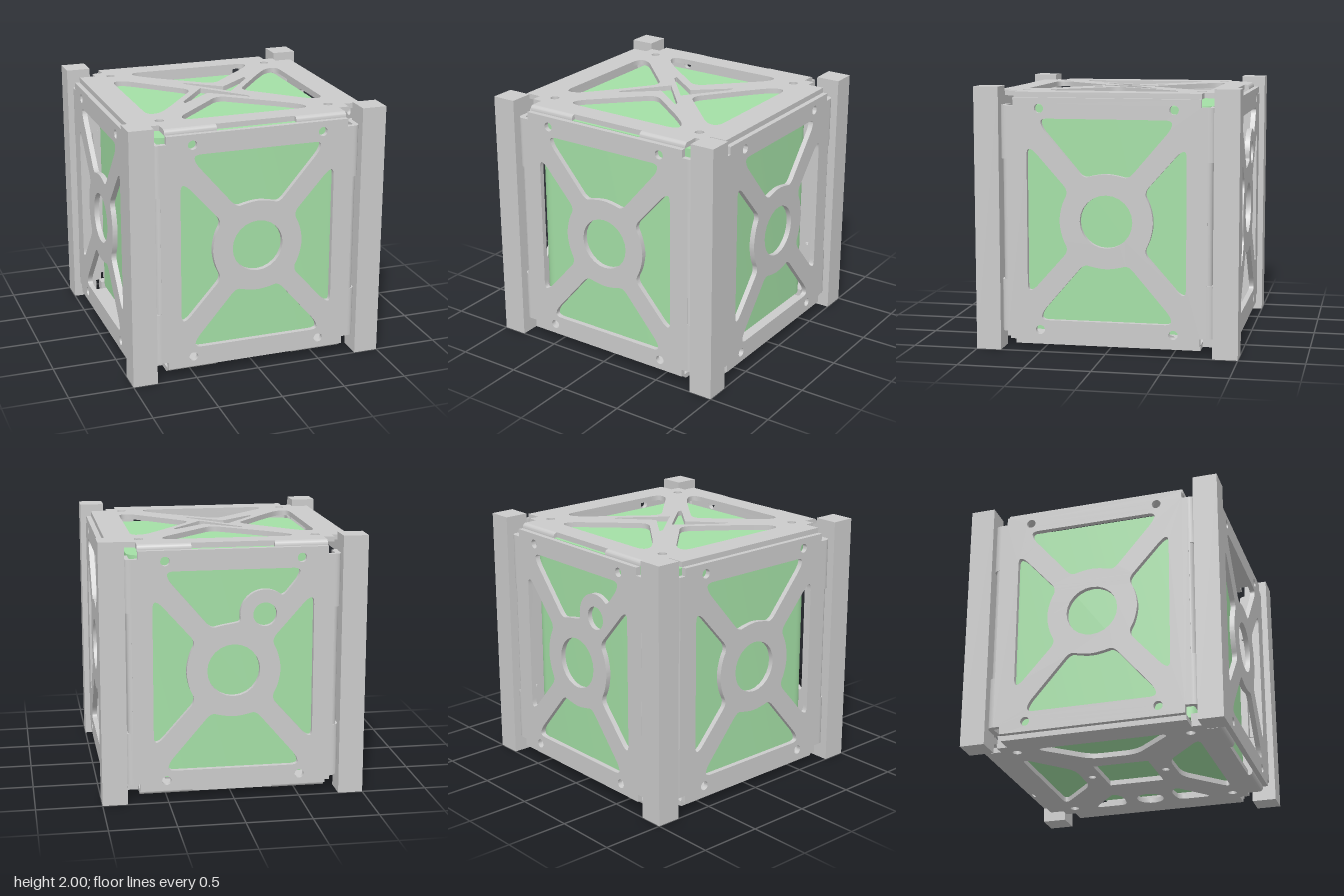
import * as THREE from 'three';
import { toCreasedNormals } from 'three/addons/utils/BufferGeometryUtils.js';

const T = 0.04; // sheet thickness
const grey = new THREE.MeshStandardMaterial({ color: 0xcccccc });
const green = new THREE.MeshStandardMaterial({ color: 0xa4e0a6 });

function mesh(name, geometry, material = grey) {
  const m = new THREE.Mesh(geometry, material);
  m.name = name;
  return m;
}

function extrude(shape, depth) {
  const g = new THREE.ExtrudeGeometry(shape, { depth, bevelEnabled: false, curveSegments: 12 });
  return toCreasedNormals(g, 0.6);
}

const polygon = (pts) => new THREE.Shape(pts.map(([x, y]) => new THREE.Vector2(x, y)));

// Closed outline with every corner softened by distance r
function rounded(pts, r) {
  const path = new THREE.Shape();
  const p = pts.map(([x, y]) => new THREE.Vector2(x, y));
  p.forEach((v, i) => {
    const prev = p[(i + p.length - 1) % p.length], next = p[(i + 1) % p.length];
    const step = (to) => v.clone().lerp(to, Math.min(r / v.distanceTo(to), 0.48));
    const a = step(prev), b = step(next);
    if (i === 0) path.moveTo(a.x, a.y); else path.lineTo(a.x, a.y);
    path.quadraticCurveTo(v.x, v.y, b.x, b.y);
  });
  path.closePath();
  return path;
}

const square = (h) => [[-h, -h], [h, -h], [h, h], [-h, h]];

function circle(x, y, r) {
  return new THREE.Path().absarc(x, y, r, 0, Math.PI * 2, true);
}

function cornerHoles(x, y) {
  return [[1, 1], [1, -1], [-1, 1], [-1, -1]].map(([a, b]) => circle(a * x, b * y, 0.035));
}

const flip = (pts, sx, sy) => pts.map(([x, y]) => [x * sx, y * sy]);

// Mirrors a quarter outline into a whole sheet
const fourWay = (q) => polygon([
  ...q, ...flip(q, -1, 1).reverse(), ...flip(q, -1, -1), ...flip(q, 1, -1).reverse(),
]);

// Side panel facing +z, centred on its own middle height
function sidePanel(name, withPort) {
  const group = new THREE.Group();
  group.name = name;
  const sheet = fourWay([[0.76, 0.86], [0.71, 0.86], [0.71, 0.92]]);

  // Openings around the central ring
  const upper = [
    [-0.49, 0.7], [-0.5, 0.765], [0.5, 0.765], [0.49, 0.7], [0.17, 0.325],
    [0.1, 0.345], [0, 0.36], [-0.1, 0.345], [-0.17, 0.325],
  ];
  const side = [
    [0.605, 0.54], [0.605, -0.54], [0.56, -0.535], [0.285, -0.225], [0.335, -0.13],
    [0.36, 0], [0.335, 0.13], [0.285, 0.225], [0.56, 0.535],
  ];
  let top = upper;
  if (withPort) {
    const arc = [];
    for (let i = 0; i <= 10; i++) {
      const a = THREE.MathUtils.degToRad(45 + i * 15);
      arc.push([0.235 + 0.19 * Math.cos(a), 0.42 + 0.19 * Math.sin(a)]);
    }
    top = [...upper.slice(0, 4), ...arc, ...upper.slice(6)];
    sheet.holes.push(circle(0.235, 0.42, 0.09));
  }
  sheet.holes.push(
    rounded(top, 0.06), rounded(flip(upper, 1, -1), 0.06),
    rounded(side, 0.06), rounded(flip(side, -1, 1), 0.06),
    circle(0, 0, 0.2), ...cornerHoles(0.51, 0.84),
  );
  const face = mesh('panelSheet', extrude(sheet, T));
  face.position.z = 0.92;
  group.add(face);

  // Bent flanges: upper and lower hug the post, the middle one stands clear
  const flanges = [[-0.86, 0.4, 0.81, 0.79], [-0.46, 0.92, 0.795, 0.82], [0.46, 0.4, 0.81, 0.79]];
  for (const s of [1, -1]) for (const [y, height, outer, end] of flanges) {
    const bend = new THREE.Shape();
    bend.moveTo(s * (outer - 0.05), -0.96);
    bend.quadraticCurveTo(s * outer, -0.96, s * outer, -0.91);
    bend.lineTo(s * outer, -end);
    bend.lineTo(s * (outer - T), -end);
    bend.lineTo(s * (outer - T), -0.91);
    bend.lineTo(s * (outer - 0.05), -0.92);
    const g = extrude(bend, height);
    g.rotateX(-Math.PI / 2);
    g.translate(0, y, 0);
    group.add(mesh('panelFlange', g));
  }
  return group;
}

// Horizontal end plate, with its outer face at local y = 0 and facing up
function endPlate(name, holes) {
  const group = new THREE.Group();
  group.name = name;
  const sheet = fourWay([[0.92, 0.71], [0.79, 0.71], [0.79, 0.79], [0.71, 0.79], [0.71, 0.885]]);
  sheet.holes.push(...holes, ...cornerHoles(0.67, 0.675));
  const g = extrude(sheet, T);
  g.rotateX(Math.PI / 2);
  group.add(mesh('plateSheet', g));

  // Two rounded folded tabs on the front and back edges
  const fold = new THREE.Shape();
  fold.moveTo(0, 0);
  fold.lineTo(0.035, 0);
  fold.quadraticCurveTo(0.035, T, 0, T);
  for (const turn of [0, Math.PI]) {
    const edge = new THREE.Group();
    edge.name = 'foldedEdge';
    for (const x of [-0.71, 0.31]) {
      const tab = extrude(fold, 0.4);
      tab.rotateY(-Math.PI / 2);
      tab.translate(x + 0.4, -T, 0.885);
      edge.add(mesh('foldedTab', tab));
    }
    edge.rotation.y = turn;
    group.add(edge);
  }
  return group;
}

export function createModel() {
  const model = new THREE.Group();
  model.name = 'cubeFrame';

  // Inner payload block with rounded upright edges
  const block = extrude(rounded(square(0.77), 0.12), 1.735);
  block.rotateX(-Math.PI / 2);
  const core = mesh('innerBlock', block, green);
  core.position.y = 0.12;
  model.add(core);

  // Corner posts and small lower corner blocks
  for (const x of [-1, 1]) for (const z of [-1, 1]) {
    const post = mesh('cornerPost', new THREE.BoxGeometry(0.19, 2, 0.19));
    post.position.set(x * 0.905, 1, z * 0.905);
    const foot = mesh('lowerCornerBlock', new THREE.BoxGeometry(0.08, 0.07, 0.08));
    foot.position.set(x * 0.75, 0.105, z * 0.75);
    model.add(post, foot);
  }

  // Four side panels; the back one carries an extra port
  ['frontPanel', 'leftPanel', 'backPanel', 'rightPanel'].forEach((name, i) => {
    const panel = sidePanel(name, i === 2);
    panel.position.y = 1;
    panel.rotation.y = i * Math.PI / 2;
    model.add(panel);
  });

  // Top plate: pinwheel openings with half-turn symmetry
  const back = [[-0.49, -0.71], [0.49, -0.71], [0.49, -0.62], [0.05, -0.18], [-0.35, -0.49], [-0.49, -0.62]];
  const flank = [[-0.71, -0.49], [-0.61, -0.49], [-0.18, -0.06], [-0.49, 0.35], [-0.61, 0.49], [-0.71, 0.49]];
  const sliver = [[-0.185, -0.28], [0.09, -0.07], [0.35, -0.295], [0.345, -0.245], [0.1, 0.08], [-0.18, -0.24]];
  const topHoles = [];
  for (const s of [1, -1]) {
    topHoles.push(rounded(flip(back, s, s), 0.09), rounded(flip(flank, s, s), 0.09), rounded(flip(sliver, s, s), 0.008));
  }
  const top = endPlate('topPlate', topHoles);
  top.position.y = 1.96;
  model.add(top);

  // Bottom plate: square window, three trapezoids and a round port
  const trap = [[-0.53, 0.7], [0.53, 0.7], [0.18, 0.38], [-0.18, 0.38]];
  const corner = [[0.7, 0.5], [0.7, 0.22], [0.52, 0.2], [0.42, 0.26]];
  const bottomHoles = [
    rounded(square(0.22), 0.01),
    rounded(trap, 0.09), rounded(flip(trap, 1, -1), 0.09),
    rounded(trap.map(([x, y]) => [-y, x]), 0.09),
    rounded(corner, 0.06), rounded(flip(corner, 1, -1), 0.06),
    circle(0.61, 0, 0.11), circle(0, 0.3, 0.03), circle(0, -0.3, 0.03),
  ];
  const bottom = endPlate('bottomPlate', bottomHoles);
  bottom.rotation.x = Math.PI;
  bottom.position.y = 0.04;
  model.add(bottom);

  return model;
}
